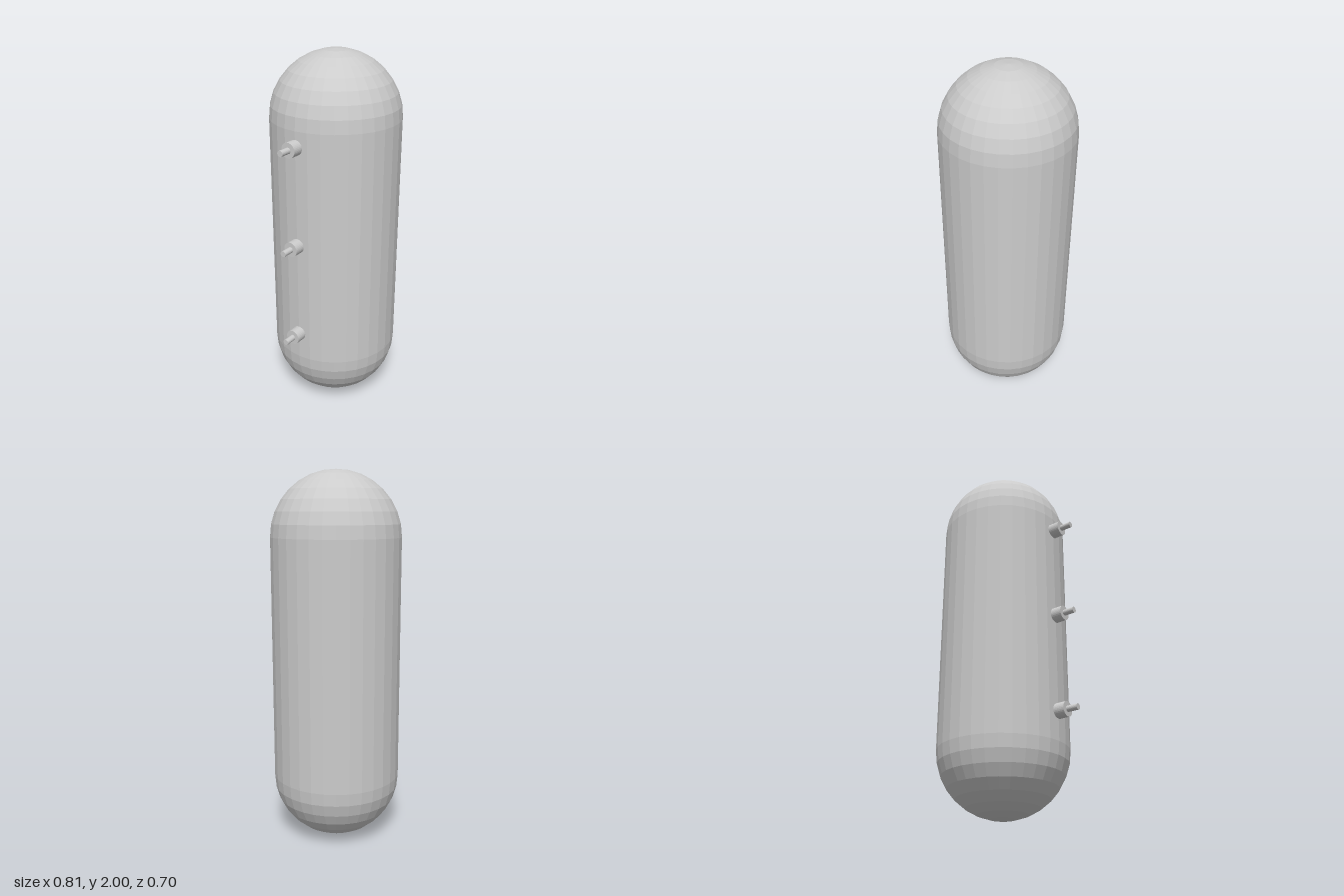
import * as THREE from 'three';

const R = 0.348, HEIGHT = 2, CENTER_X = 0.057, SIDES = 32;

export function createModel() {
  const model = new THREE.Group();
  model.name = 'pressureTank';
  const material = new THREE.MeshStandardMaterial({ color: 0xcccccc, flatShading: true });

  const add = (name, geometry, x, y) => {
    const mesh = new THREE.Mesh(geometry, material);
    mesh.name = name;
    mesh.position.set(x, y, 0);
    model.add(mesh);
  };

  // Straight shell, closed by a half sphere at each end
  add('shell', new THREE.CylinderGeometry(R, R, HEIGHT - 2 * R, SIDES, 1, true), CENTER_X, HEIGHT / 2);
  const dome = (start) => new THREE.SphereGeometry(R, SIDES, 8, 0, Math.PI * 2, start, Math.PI / 2);
  add('topDome', dome(0), CENTER_X, HEIGHT - R);
  add('bottomDome', dome(Math.PI / 2), CENTER_X, R);

  // Horizontal rod between two x positions
  const rod = (name, radius, x0, x1, y) => {
    const geometry = new THREE.CylinderGeometry(radius, radius, x1 - x0, SIDES).rotateZ(Math.PI / 2);
    add(name, geometry, (x0 + x1) / 2, y);
  };

  // Three stepped nozzles up the right side
  [0.502, 1.036, 1.569].forEach((y) => {
    rod('nozzleCollar', 0.04, -0.347, -0.27, y);
    rod('nozzleTip', 0.016, -0.408, -0.33, y);
  });

  return model;
}
